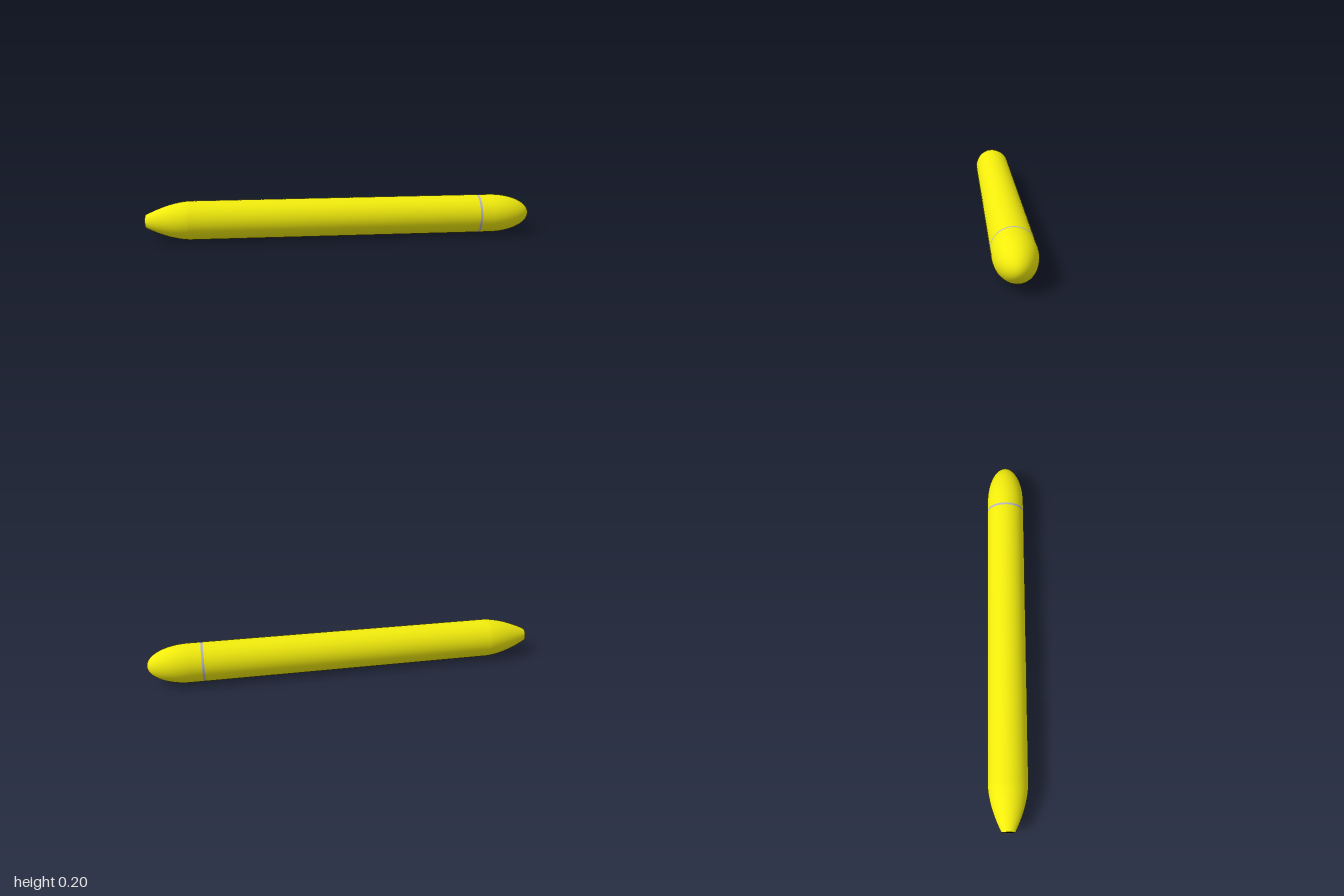
import * as THREE from 'three';

const RADIUS = 0.1;
const SEGMENTS = 64;

// Revolves a profile of [x, radius] points about the long axis
function revolve(name, profile, color) {
  const points = profile.map(([x, r]) => new THREE.Vector2(r, x));
  const geometry = new THREE.LatheGeometry(points, SEGMENTS);
  geometry.rotateZ(-Math.PI / 2);
  const material = new THREE.MeshStandardMaterial({ color, side: THREE.DoubleSide });
  const mesh = new THREE.Mesh(geometry, material);
  mesh.name = name;
  return mesh;
}

export function createModel() {
  const model = new THREE.Group();
  model.name = 'torpedo';
  const yellow = 0xf2ec0c;

  // Tapered tail with a gently bowed outline
  const tailCurve = new THREE.QuadraticBezierCurve(
    new THREE.Vector2(-1, 0.034), new THREE.Vector2(-0.88, 0.094), new THREE.Vector2(-0.78, RADIUS));
  model.add(revolve('tailCone', tailCurve.getPoints(16).map((p) => [p.x, p.y]), yellow));

  // Straight hull
  model.add(revolve('hull', [[-0.78, RADIUS], [0.719, RADIUS]], yellow));

  // Thin joint band between hull and nose
  model.add(revolve('jointBand', [[0.719, RADIUS], [0.731, RADIUS]], 0xb4b4c4));

  // Rounded nose, a half ellipse ahead of a short straight collar
  const nose = [[0.731, RADIUS]];
  for (let i = 0; i <= 24; i++) {
    const a = (i / 24) * Math.PI / 2;
    nose.push([0.79 + 0.21 * Math.sin(a), RADIUS * Math.cos(a)]);
  }
  model.add(revolve('nose', nose, yellow));

  // Dark end ring around a small shaft end
  model.add(revolve('tailRing', [[-0.999, 0.01], [-0.999, 0.034]], 0x0c0c0c));
  model.add(revolve('shaftEnd', [[-0.999, 0], [-0.999, 0.01]], 0xcccccc));

  model.position.y = RADIUS;
  return model;
}
